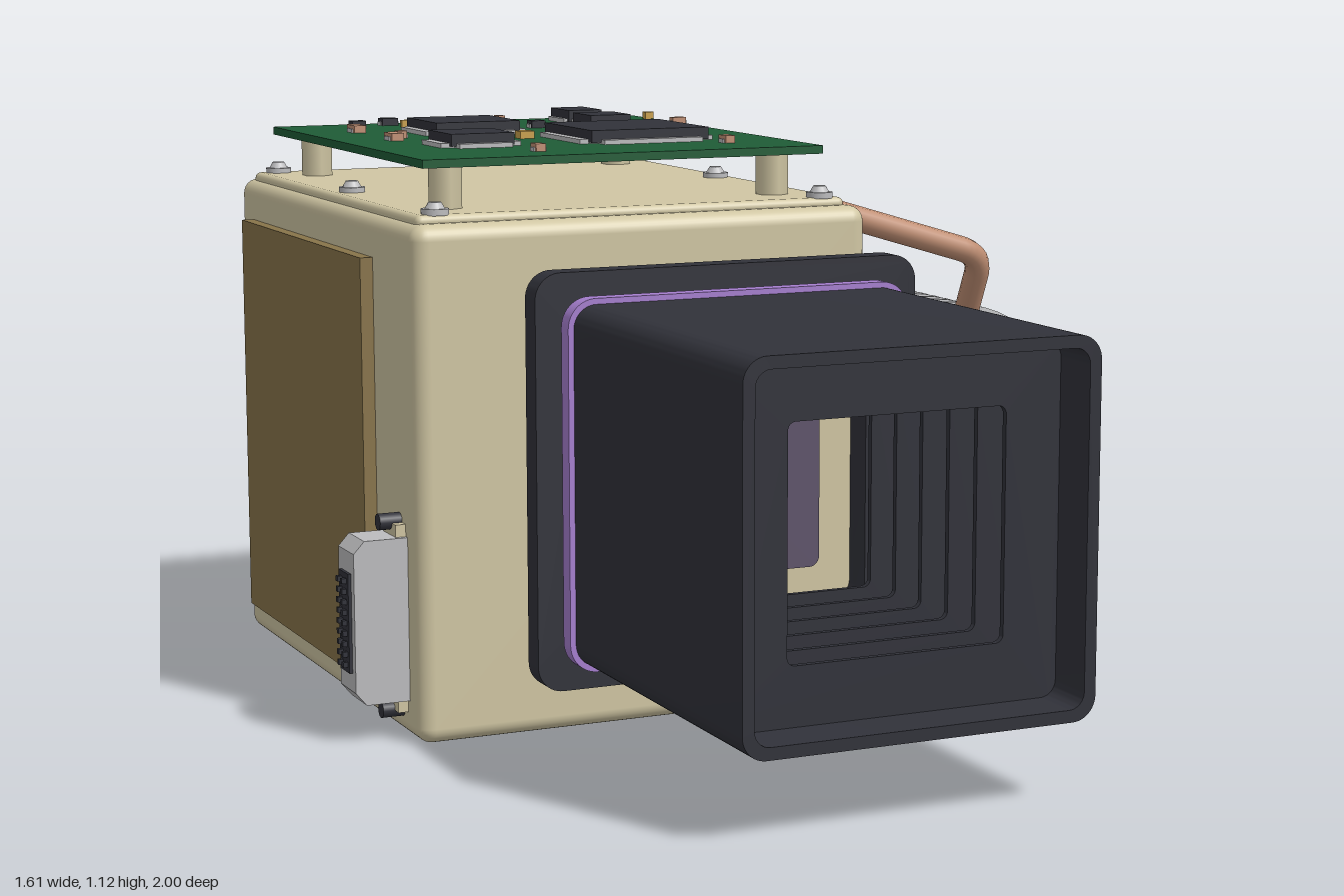
import * as THREE from 'three';
import { toCreasedNormals } from 'three/addons/utils/BufferGeometryUtils.js';
import { RoundedBoxGeometry } from 'three/addons/geometries/RoundedBoxGeometry.js';

const mat = (name, color) => new THREE.MeshStandardMaterial({ name, color });

export function createModel() {
  const model = new THREE.Group();
  model.name = 'cooledCamera';
  const cream = mat('creamHousing', 0xd0c6a3), dark = mat('darkPlastic', 0x31323a);
  const purple = mat('purpleSeal', 0xa67fcf), silver = mat('silverMetal', 0xbcbcbe);
  const green = mat('greenBoard', 0x1f5c36), brown = mat('brownPanel', 0x88744a);
  const copper = mat('copper', 0xc08f74), lens = mat('purpleGlass', 0x5e536a);
  const gold = mat('goldContact', 0xc9a04c);

  const add = (name, geo, material, x = 0, y = 0, z = 0, parent = model) => {
    const m = new THREE.Mesh(geo, material);
    m.name = name;
    m.position.set(x, y, z);
    parent.add(m);
    return m;
  };
  const group = (name) => {
    const g = new THREE.Group();
    g.name = name;
    model.add(g);
    return g;
  };
  const box = (w, h, d) => new THREE.BoxGeometry(w, h, d);

  // Rounded rectangle traced as a shape or a hole
  const roundRect = (path, w, h, r) => {
    const a = w / 2, b = h / 2;
    path.moveTo(-a + r, -b);
    path.lineTo(a - r, -b).absarc(a - r, -b + r, r, -Math.PI / 2, 0);
    path.lineTo(a, b - r).absarc(a - r, b - r, r, 0, Math.PI / 2);
    path.lineTo(-a + r, b).absarc(-a + r, b - r, r, Math.PI / 2, Math.PI);
    path.lineTo(-a, -b + r).absarc(-a + r, -b + r, r, Math.PI, Math.PI * 1.5);
    return path;
  };
  // Square plate along z, with an optional square opening
  const frame = (size, r, depth, hole, holeR) => {
    const s = roundRect(new THREE.Shape(), size, size, r);
    if (hole) s.holes.push(roundRect(new THREE.Path(), hole, hole, holeR));
    const g = new THREE.ExtrudeGeometry(s, { depth, bevelEnabled: false, curveSegments: 6 });
    return toCreasedNormals(g, 0.6);
  };

  // Housing and lid
  add('housing', new RoundedBoxGeometry(0.93, 0.975, 1.105, 4, 0.03), cream, -0.225, 0.4875, -0.3925);
  add('lid', new RoundedBoxGeometry(0.88, 0.05, 1.03, 2, 0.012), cream, -0.23, 0.965, -0.395);
  add('sidePanel', box(0.025, 0.825, 0.78), brown, -0.7025, 0.4825, -0.465);

  // Lid screws
  const screws = group('lidScrews');
  for (const x of [-0.625, 0.167]) for (const z of [0.095, -0.388, -0.88]) {
    add('screwWasher', new THREE.CylinderGeometry(0.026, 0.026, 0.012, 16), silver, x, 0.994, z, screws);
    add('screwHead', new THREE.CylinderGeometry(0.012, 0.019, 0.012, 16), silver, x, 1.006, z, screws);
  }

  // Lens hood with inner baffles
  const hood = group('lensHood');
  hood.position.set(-0.085, 0.49, 0);
  add('mountFlange', frame(0.79, 0.05, 0.05, 0.58, 0.04), dark, 0, 0, 0.175, hood);
  add('flangeNeck', frame(0.64, 0.04, 0.03, 0.58, 0.04), dark, 0, 0, 0.15, hood);
  add('hoodShell', frame(0.68, 0.045, 0.78, 0.635, 0.03), dark, 0, 0, 0.22, hood);
  add('sealRing', frame(0.702, 0.055, 0.034, 0.67, 0.04), purple, 0, 0, 0.243, hood);
  for (let i = 0; i < 6; i++) {
    add('baffle', frame(0.655, 0.035, 0.012, 0.42, 0.015), dark, 0, 0, 0.39 + i * 0.1, hood);
  }
  add('frontGlass', frame(0.43, 0.02, 0.02), lens, 0, 0, 0.155, hood);

  // Finned cooler, turned about the z axis
  const cooler = group('cooler');
  cooler.position.set(0.548, 0.488, 0);
  const turned = (name, pts, material) => {
    const g = new THREE.LatheGeometry(pts.map(([r, z]) => new THREE.Vector2(r, z)), 48);
    g.rotateX(Math.PI / 2);
    return add(name, toCreasedNormals(g, 0.5), material, 0, 0, 0, cooler);
  };
  turned('coolerBarrel', [[0, -0.88], [0.198, -0.88], [0.202, -0.86], [0.202, 0.03], [0.197, 0.05],
    [0.166, 0.133], [0, 0.133]], silver);
  turned('coolerSeal', [[0.195, -0.868], [0.208, -0.868], [0.208, -0.812], [0.195, -0.812]], purple);
  for (let i = 0; i < 15; i++) {
    const z = -0.04 - i * 0.0508;
    turned('coolingFin', [[0.19, z - 0.016], [0.254, z - 0.006], [0.254, z + 0.006], [0.19, z + 0.016]], silver);
  }
  const neck = add('coolerNeck', new THREE.CylinderGeometry(0.07, 0.07, 0.2, 24), silver, 0.3, 0.488, -0.415);
  neck.rotation.z = Math.PI / 2;

  // Support arms with chamfered section
  const arm = new THREE.Shape([[-0.052, -0.012], [-0.036, -0.025], [0.036, -0.025], [0.052, -0.012],
    [0.052, 0.012], [0.036, 0.025], [-0.036, 0.025], [-0.052, 0.012]].map(([x, y]) => new THREE.Vector2(x, y)));
  const armGeo = new THREE.ExtrudeGeometry(arm, { depth: 0.54, bevelEnabled: true, bevelSize: 0.006,
    bevelThickness: 0.012, bevelOffset: -0.006, bevelSegments: 1 });
  armGeo.rotateY(Math.PI / 2);
  for (const z of [-0.082, -0.806]) add('supportArm', armGeo, cream, 0.2, 0.2, z);

  // Pipes with rounded bends
  const pipe = (name, pts, r, material) => {
    const p = pts.map((a) => new THREE.Vector3(...a));
    const path = new THREE.CurvePath();
    let from = p[0];
    for (let i = 1; i < p.length - 1; i++) {
      const a = p[i].clone().add(p[i - 1].clone().sub(p[i]).setLength(0.05));
      const b = p[i].clone().add(p[i + 1].clone().sub(p[i]).setLength(0.05));
      path.add(new THREE.LineCurve3(from, a));
      path.add(new THREE.QuadraticBezierCurve3(a, p[i], b));
      from = b;
    }
    path.add(new THREE.LineCurve3(from, p[p.length - 1]));
    add(name, new THREE.TubeGeometry(path, 48, r, 12), material);
    const end = p[p.length - 1], cap = add(name + 'End', new THREE.CircleGeometry(r, 12), material, end.x, end.y, end.z);
    cap.lookAt(end.clone().multiplyScalar(2).sub(p[p.length - 2]));
  };
  pipe('copperPipe', [[0.18, 0.965, 0.095], [0.53, 0.86, 0.095], [0.548, 0.67, -0.025]], 0.025, copper);
  pipe('fillTube', [[0.445, 0.33, -0.83], [0.435, 0.135, -0.93], [0.19, 0.055, -0.985]], 0.015, silver);

  // Circuit board on standoffs
  const board = group('circuitBoard');
  add('board', box(0.825, 0.016, 0.935), green, -0.228, 1.08, -0.392, board);
  for (const x of [-0.57, 0.11]) for (const z of [0, -0.785]) {
    add('standoff', new THREE.CylinderGeometry(0.032, 0.032, 0.09, 6), cream, x, 1.03, z, board);
  }
  // Chips: x, z, width, depth
  for (const [x, z, w, d] of [[-0.09, -0.26, 0.25, 0.25], [-0.33, -0.55, 0.18, 0.18],
    [-0.433, -0.225, 0.13, 0.13], [-0.006, -0.585, 0.09, 0.1], [0.003, -0.75, 0.075, 0.105]]) {
    add('chip', box(w, 0.024, d), dark, x, 1.103, z, board);
    const lip = w > 0.1 ? 0.036 : 0.018;
    add('chipLegs', box(w + lip, 0.009, d * 0.84), silver, x, 1.0925, z, board);
    add('chipLegs', box(w * 0.84, 0.009, d + lip), silver, x, 1.0924, z, board);
  }
  // Small parts: x, z, width, depth, body material
  for (const [x, z, w, d, m] of [[-0.53, -0.64, 0.025, 0.05, copper], [-0.53, -0.405, 0.025, 0.05, copper],
    [0.045, -0.07, 0.02, 0.035, copper], [-0.37, -0.03, 0.02, 0.03, copper], [0.165, -0.575, 0.03, 0.02, copper],
    [-0.22, -0.73, 0.015, 0.03, copper], [-0.16, -0.785, 0.015, 0.025, copper], [-0.5, -0.45, 0.02, 0.02, copper],
    [-0.49, -0.755, 0.03, 0.025, dark], [-0.405, -0.805, 0.035, 0.03, dark], [-0.145, -0.61, 0.03, 0.03, dark],
    [-0.372, -0.357, 0.045, 0.028, dark], [-0.365, -0.72, 0.035, 0.015, gold], [-0.275, -0.343, 0.03, 0.03, gold],
    [0.175, -0.755, 0.02, 0.015, gold], [-0.39, -0.735, 0.02, 0.012, gold]]) {
    add('smallPart', box(w, 0.016, d), m, x, 1.095, z, board);
    if (m !== gold) add('smallPartEnds', box(w + 0.006, 0.008, d * 0.6), silver, x, 1.092, z, board);
  }

  // Side connector with pins
  const plug = group('sideConnector');
  const plugShape = new THREE.Shape([[-0.69, 0.075], [-0.775, 0.075], [-0.796, 0.1], [-0.796, 0.365],
    [-0.775, 0.388], [-0.69, 0.388]].map(([x, y]) => new THREE.Vector2(x, y)));
  add('connectorShell', new THREE.ExtrudeGeometry(plugShape, { depth: 0.09, bevelEnabled: false }),
    silver, 0, 0, 0.01, plug);
  add('connectorFace', box(0.008, 0.19, 0.055), dark, -0.798, 0.23, 0.055, plug);
  for (let i = 0; i < 9; i++) for (const z of [0.042, 0.068]) {
    add('pin', box(0.014, 0.01, 0.01), dark, -0.804, 0.15 + i * 0.02, z, plug);
  }
  add('connectorBase', box(0.04, 0.36, 0.07), cream, -0.69, 0.2315, 0.055, plug);
  for (const y of [0.052, 0.413]) {
    const s = add('connectorScrew', new THREE.CylinderGeometry(0.016, 0.016, 0.06, 12), dark, -0.703, y, 0.055, plug);
    s.rotation.z = Math.PI / 2;
  }
  return model;
}
